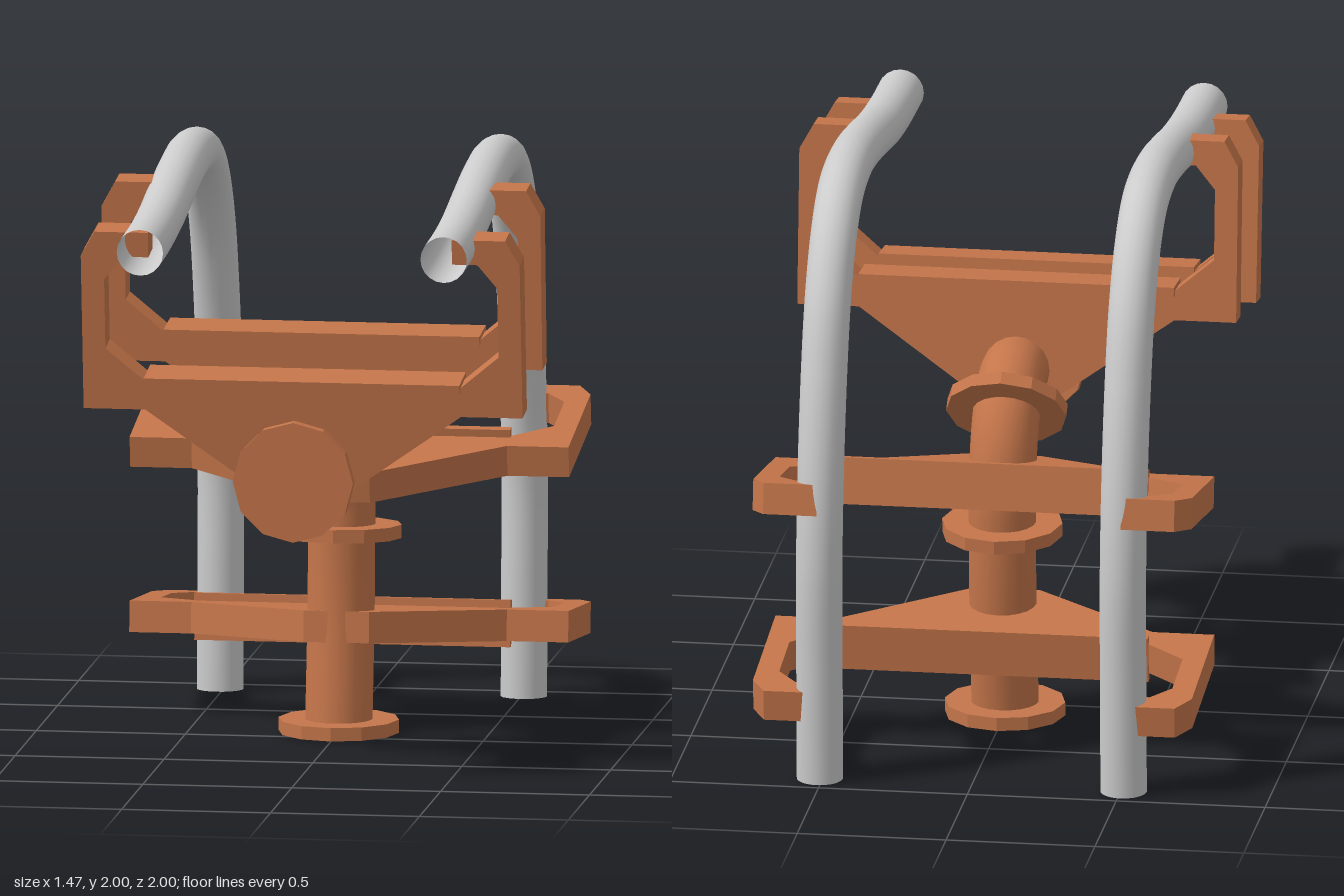
import * as THREE from 'three';

const brown = new THREE.MeshStandardMaterial({ color: 0xc4754a });
const grey = new THREE.MeshStandardMaterial({ color: 0xcccccc, side: THREE.DoubleSide });

// Smooth path in the plane of constant x, from [z, y] points
const pathAt = (x, points) =>
  new THREE.CatmullRomCurve3(points.map(([z, y]) => new THREE.Vector3(x, y, z)), false, 'centripetal');

function add(parent, name, geometry, material) {
  const mesh = new THREE.Mesh(geometry, material);
  mesh.name = name;
  parent.add(mesh);
  return mesh;
}

// Outline of a cross tie: trapezoid web with two hooked arms that meet the rails
function tieShape() {
  const half = [
    [0.11, 0], [0.53, 0.3], [0.737, 0.3], [0.737, 0.83], [0.69, 0.915], [0.51, 0.915],
    [0.51, 0.83], [0.595, 0.83], [0.66, 0.75], [0.66, 0.51], [0.53, 0.4],
  ];
  const mirrored = half.map(([x, v]) => [-x, v]).reverse();
  return new THREE.Shape([...half, ...mirrored].map(([x, v]) => new THREE.Vector2(x, v)));
}

function makeTie(base, tip) {
  const tie = new THREE.Group();
  tie.name = 'crossTie';
  const thickness = 0.105;
  const plate = new THREE.ExtrudeGeometry(tieShape(), { depth: thickness, bevelEnabled: false });
  plate.translate(0, 0, -thickness / 2);
  add(tie, 'tiePlate', plate, brown);
  // Wider stiffening strip along the edge of the web
  add(tie, 'tieStiffener', new THREE.BoxGeometry(1.06, 0.032, 0.157), brown).position.y = 0.4;

  // Stand the tie across the spine, pointing from base to tip
  const across = new THREE.Vector3(1, 0, 0);
  const up = new THREE.Vector3(0, tip[1] - base[1], tip[0] - base[0]).normalize();
  const normal = new THREE.Vector3().crossVectors(across, up);
  tie.quaternion.setFromRotationMatrix(new THREE.Matrix4().makeBasis(across, up, normal));
  tie.position.set(0, base[1], base[0]);
  return tie;
}

export function createModel() {
  const model = new THREE.Group();
  model.name = 'trackSection';

  // Central spine tube
  const spine = pathAt(0, [
    [0.95, 1.018], [0.65, 1.045], [0.41, 1.08], [0.2, 1.112], [0.06, 1.115], [-0.06, 1.06],
    [-0.14, 0.95], [-0.178, 0.8], [-0.178, 0.667], [-0.163, 0.4], [-0.11, 0.02],
  ]);
  add(model, 'spine', new THREE.TubeGeometry(spine, 80, 0.113, 20), brown);

  // Flange discs: centre [z, y] and axis [z, y]
  const flanges = [
    [[0.953, 1.022], [1, 0]],
    [[0.408, 1.077], [0.97, -0.24]],
    [[-0.07, 1.053], [0.73, 0.68]],
    [[-0.176, 0.669], [-0.05, 1]],
    [[-0.112, 0.0225], [0, 1]],
  ];
  for (const [[z, y], [az, ay]] of flanges) {
    const disc = new THREE.CylinderGeometry(0.202, 0.202, 0.045, 12).toNonIndexed();
    disc.computeVertexNormals();
    const flange = add(model, 'flange', disc, brown);
    flange.position.set(0, y, z);
    flange.rotation.x = Math.atan2(az, ay);
  }

  // Cross ties: base and tip as [z, y]
  const ties = [
    [[0.64, 0.925], [0.76, 1.832]],
    [[0.184, 1.005], [0.267, 1.914]],
    [[-0.064, 0.832], [-0.955, 0.987]],
    [[-0.05, 0.363], [-0.965, 0.264]],
  ];
  for (const [base, tip] of ties) model.add(makeTie(base, tip));

  // Pair of open-ended running rails
  for (const side of [-1, 1]) {
    const rail = pathAt(side * 0.51, [
      [1, 1.79], [0.75, 1.802], [0.5, 1.828], [0.25, 1.87], [0, 1.908], [-0.22, 1.921],
      [-0.42, 1.89], [-0.58, 1.785], [-0.71, 1.61], [-0.80, 1.38], [-0.875, 1.07],
      [-0.912, 0.75], [-0.907, 0.4], [-0.895, 0],
    ]);
    add(model, side < 0 ? 'rightRail' : 'leftRail', new THREE.TubeGeometry(rail, 90, 0.078, 20), grey);
  }
  return model;
}
